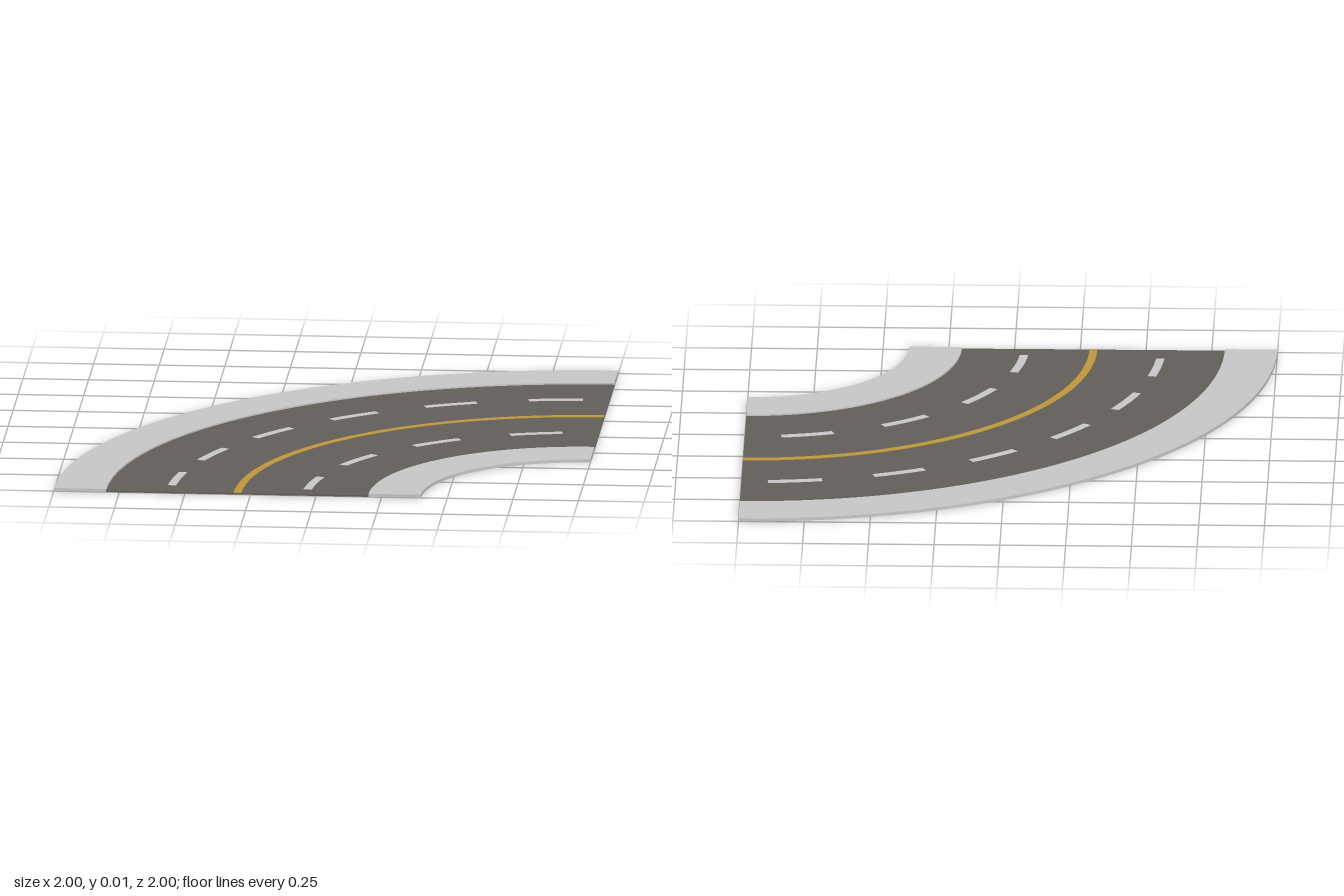
import * as THREE from 'three';

const CURB_TOP = 0.012;
const ROAD_TOP = 0.006;
const MARK_TOP = 0.0075;

// Ring sector about the bend centre (x = 1, z = 1); angles in degrees from the
// back edge (0) round to the front edge (90)
function sector(name, material, rInner, rOuter, y0, y1, from = 0, to = 90, segments = 28) {
  const a = Math.PI / 2 + THREE.MathUtils.degToRad(from);
  const b = Math.PI / 2 + THREE.MathUtils.degToRad(to);
  const shape = new THREE.Shape();
  shape.absarc(0, 0, rOuter, a, b, false);
  shape.absarc(0, 0, rInner, b, a, true);
  shape.closePath();
  const geometry = new THREE.ExtrudeGeometry(shape, {
    depth: y1 - y0, bevelEnabled: false, curveSegments: segments,
  });
  geometry.rotateX(-Math.PI / 2);
  const mesh = new THREE.Mesh(geometry, material);
  mesh.name = name;
  mesh.position.set(1, y0, 1);
  return mesh;
}

function paint(name, color) {
  const material = new THREE.MeshStandardMaterial({ color });
  material.name = name;
  return material;
}

export function createModel() {
  const concrete = paint('concrete', 0xc9c9c9);
  const asphalt = paint('asphalt', 0x64605c);
  const white = paint('white paint', 0xcacaca);
  const yellow = paint('yellow paint', 0xc09a3c);

  const group = new THREE.Group();
  group.name = 'roadBend';

  // Road bed and raised pavements
  group.add(
    sector('roadBed', asphalt, 0.8, 1.8, 0, ROAD_TOP),
    sector('outerPavement', concrete, 1.8, 2, 0, CURB_TOP),
    sector('innerPavement', concrete, 0.6, 0.8, 0, CURB_TOP, 0, 90, 18),
  );

  // Centre line
  group.add(sector('centreLine', yellow, 1.285, 1.315, ROAD_TOP, MARK_TOP));

  // Dashed lane lines
  const lanes = [
    { name: 'outerLaneDash', radius: 1.56, count: 6, start: 3.7, step: 15, length: 7.6 },
    { name: 'innerLaneDash', radius: 1.04, count: 4, start: 7.7, step: 22.4, length: 11.1 },
  ];
  for (const { name, radius, count, start, step, length } of lanes) {
    for (let i = 0; i < count; i++) {
      const from = start + i * step;
      group.add(sector(`${name}${i + 1}`, white, radius - 0.016, radius + 0.016,
        ROAD_TOP, MARK_TOP, from, from + length, 4));
    }
  }
  return group;
}
